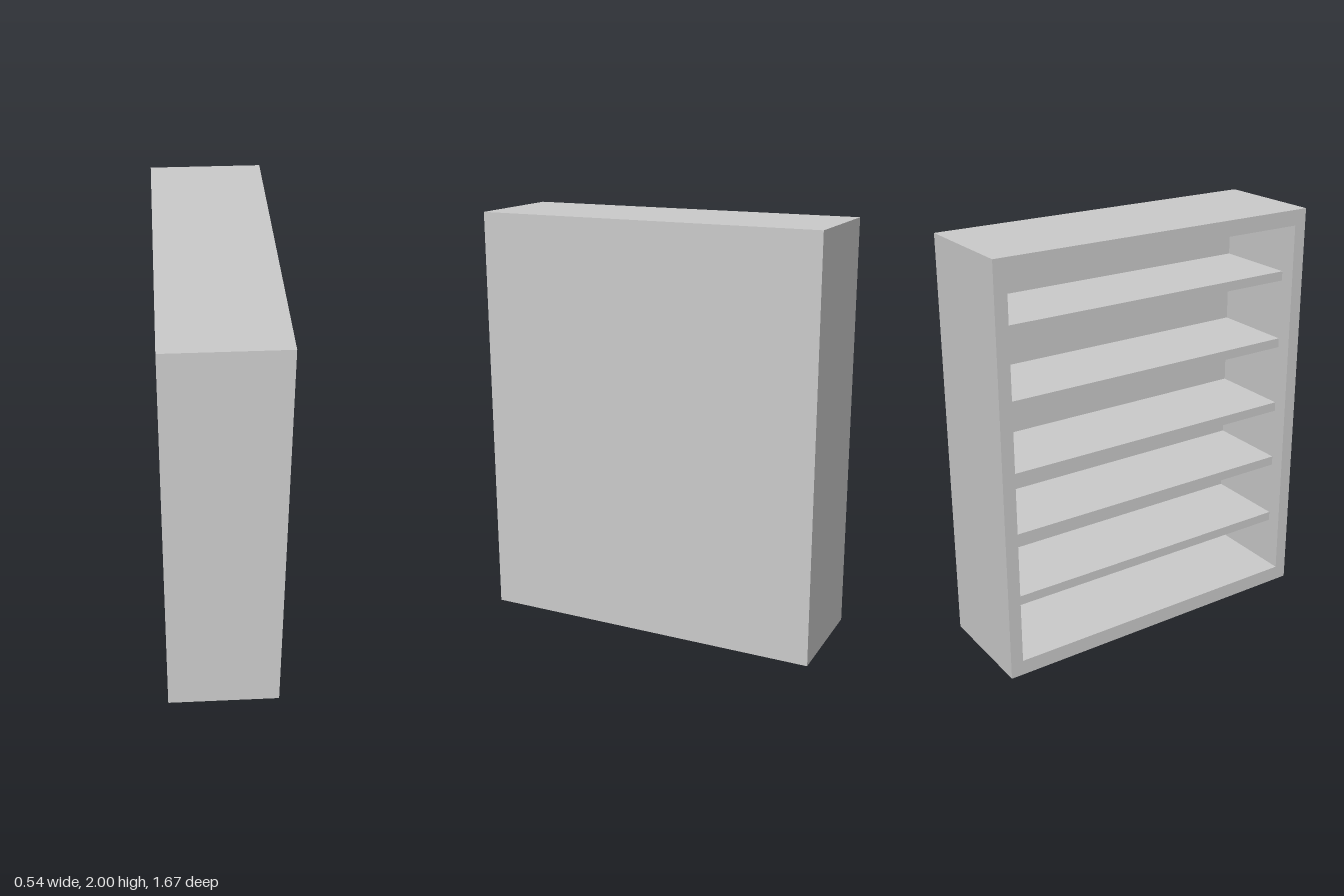
import * as THREE from 'three';

export function createModel() {
  const group = new THREE.Group();
  group.name = 'bookcase';
  const material = new THREE.MeshStandardMaterial({ color: 0xcccccc, flatShading: true });

  const W = 0.535, H = 2, D = 1.67; // overall x, y, z
  const side = 0.062, slab = 0.075, panel = 0.05;
  const inner = D - 2 * side;

  // Box given by its lower and upper corners
  function board(name, min, max) {
    const size = max.map((v, i) => v - min[i]);
    const mesh = new THREE.Mesh(new THREE.BoxGeometry(...size), material);
    mesh.position.set(...max.map((v, i) => (v + min[i]) / 2));
    mesh.name = name;
    group.add(mesh);
  }

  // Carcass: outer ring extruded along x, with the opening as a hole
  const ring = new THREE.Shape();
  ring.moveTo(-D / 2, 0).lineTo(D / 2, 0).lineTo(D / 2, H).lineTo(-D / 2, H).closePath();
  const hole = new THREE.Path();
  hole.moveTo(-inner / 2, slab).lineTo(-inner / 2, H - slab)
    .lineTo(inner / 2, H - slab).lineTo(inner / 2, slab).closePath();
  ring.holes.push(hole);
  const frameGeometry = new THREE.ExtrudeGeometry(ring, { depth: W, bevelEnabled: false });
  frameGeometry.translate(0, 0, -W / 2).rotateY(Math.PI / 2);
  const frame = new THREE.Mesh(frameGeometry, material);
  frame.name = 'frame';
  group.add(frame);

  // Closed panel on +x; the shelves open towards -x
  board('backPanel', [W / 2 - panel, slab, -inner / 2], [W / 2, H - slab, inner / 2]);

  // Shelves, set back from the opening
  const thickness = 0.046, recess = 0.073;
  [0.373, 0.697, 1.0, 1.343, 1.686].forEach((top, i) => {
    board(`shelf${i + 1}`,
      [-W / 2 + recess, top - thickness, -inner / 2],
      [W / 2 - panel, top, inner / 2]);
  });

  return group;
}
